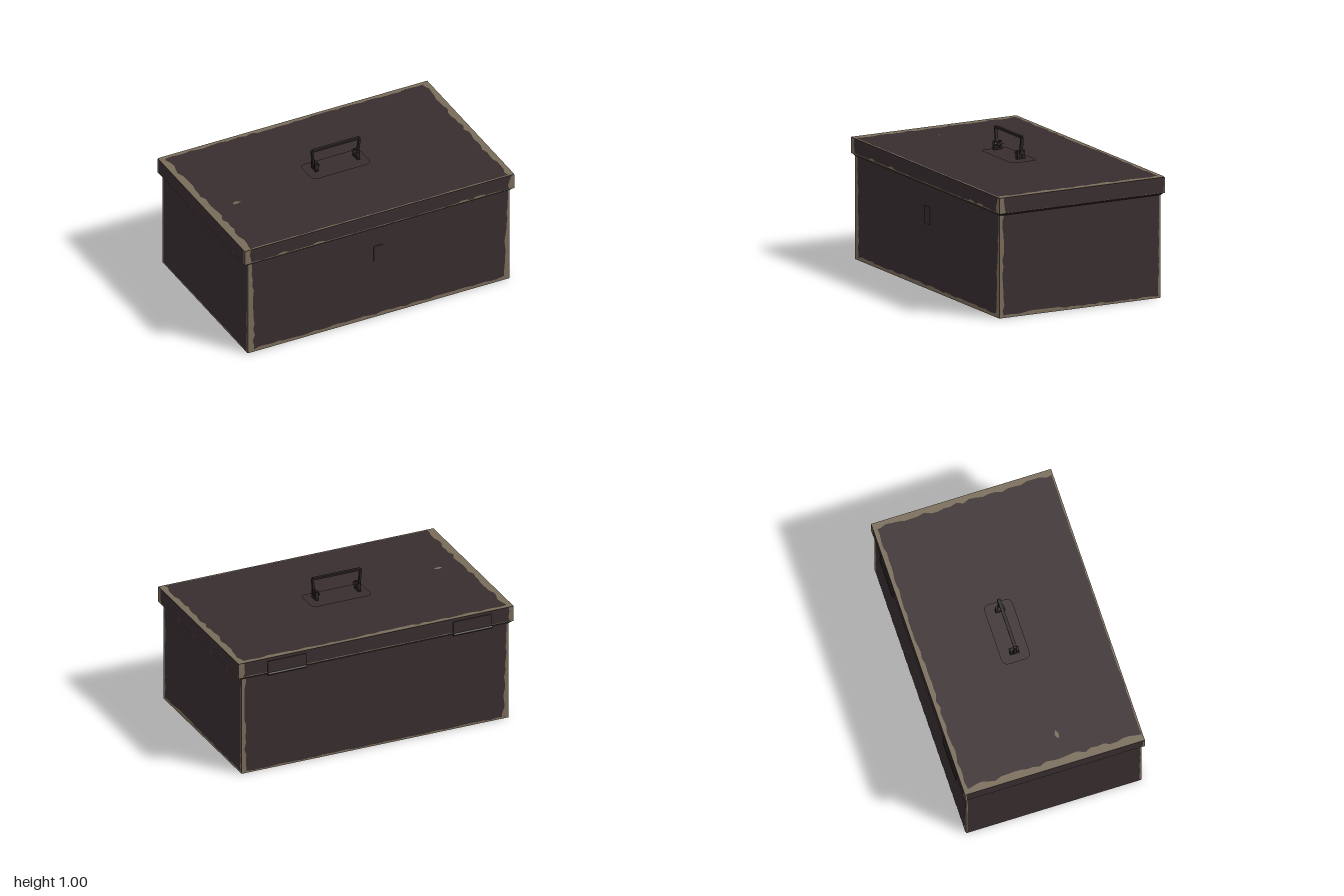
import * as THREE from 'three';

const paint = new THREE.MeshStandardMaterial({ color: 0x382d2f });
paint.name = 'dark paint';
const worn = new THREE.MeshStandardMaterial({ color: 0x786b58 });
worn.name = 'bare worn metal';
const iron = new THREE.MeshStandardMaterial({ color: 0x2a2324 });
iron.name = 'dark iron';
const sheet = new THREE.MeshStandardMaterial({ color: 0x382d2f, side: THREE.DoubleSide });
sheet.name = 'dark sheet';

// small seeded random, 0..1
let seed = 7;
const rand = () => {
  seed = (seed * 16807) % 2147483647;
  return seed / 2147483647;
};

function add(parent, name, geometry, material, x = 0, y = 0, z = 0) {
  const mesh = new THREE.Mesh(geometry, material);
  mesh.name = name;
  mesh.position.set(x, y, z);
  parent.add(mesh);
  return mesh;
}

const box = (parent, name, size, pos, material) =>
  add(parent, name, new THREE.BoxGeometry(...size), material, ...pos);

// ragged strips along the edges of a w x h face; each margin is [start, end],
// in counter-clockwise order: bottom, right, top, left
function wornEdges(w, h, margins) {
  const c = [[-w / 2, -h / 2], [w / 2, -h / 2], [w / 2, h / 2], [-w / 2, h / 2]]
    .map(p => new THREE.Vector2(...p));
  const shapes = [];
  margins.forEach((m, i) => {
    if (!m) return;
    const p = c[i], q = c[(i + 1) % 4];
    const [a, b] = Array.isArray(m) ? m : [m, m];
    const dir = q.clone().sub(p);
    const length = dir.length();
    dir.normalize();
    const steps = Math.max(3, Math.round(length / 0.045));
    const points = [p, q];
    for (let k = steps; k >= 0; k--) {
      const t = k / steps;
      const d = (a + (b - a) * t) * (0.7 + 0.6 * rand());
      points.push(new THREE.Vector2(
        p.x + dir.x * length * t - dir.y * d,
        p.y + dir.y * length * t + dir.x * d));
    }
    shapes.push(new THREE.Shape(points));
  });
  return new THREE.ShapeGeometry(shapes);
}

// worn strips on the faces of a box
function wearBox(parent, name, [w, h, d], [x, y, z], faces) {
  const e = 0.002;
  const place = {
    front: [w, h, [0, 0, d / 2 + e], [0, 0]],
    back: [w, h, [0, 0, -d / 2 - e], [0, Math.PI]],
    left: [d, h, [w / 2 + e, 0, 0], [0, Math.PI / 2]],
    right: [d, h, [-w / 2 - e, 0, 0], [0, -Math.PI / 2]],
    top: [w, d, [0, h / 2 + e, 0], [-Math.PI / 2, 0]],
    bottom: [w, d, [0, -h / 2 - e / 2, 0], [Math.PI / 2, 0]],
  };
  for (const [face, margins] of Object.entries(faces)) {
    const [fw, fh, p, r] = place[face];
    const mesh = add(parent, `${name} ${face} wear`, wornEdges(fw, fh, margins), worn,
      x + p[0], y + p[1], z + p[2]);
    mesh.rotation.set(r[0], r[1], 0);
  }
}

// irregular paint chip
function chip(parent, w, h, pos, rx = 0) {
  const points = [];
  for (let i = 0; i < 9; i++) {
    const a = i / 9 * Math.PI * 2, r = 0.7 + 0.4 * rand();
    points.push(new THREE.Vector2(Math.cos(a) * w / 2 * r, Math.sin(a) * h / 2 * r));
  }
  add(parent, 'paintChip', new THREE.ShapeGeometry(new THREE.Shape(points)), worn, ...pos)
    .rotation.x = rx;
}

function roundedRect(w, h, r) {
  const s = new THREE.Shape();
  [[1, 1, 0], [-1, 1, 1], [-1, -1, 2], [1, -1, 3]].forEach(([sx, sy, k]) =>
    s.absarc(sx * (w / 2 - r), sy * (h / 2 - r), r, k * Math.PI / 2, (k + 1) * Math.PI / 2));
  return new THREE.ShapeGeometry(s);
}

export function createModel() {
  const model = new THREE.Group();
  model.name = 'metalBox';

  // body
  const bodySize = [1.94, 0.7, 1.215], bodyPos = [0, 0.351, 0.0075];
  box(model, 'body', bodySize, bodyPos, paint);
  wearBox(model, 'body', bodySize, bodyPos, {
    front: [0.024, [0.045, 0.008], 0, [0.03, 0.045]],
    left: [[0.026, 0.014], [0.016, 0.01], 0, 0.028],
    back: [0.012, [0.04, 0.012], 0, 0.026],
    right: [0.01, 0.01, 0, 0.01],
    bottom: [0.015, 0.015, 0.015, 0.015],
  });

  // lid with a rim that slopes in under its lower edge
  const lid = new THREE.Group();
  lid.name = 'lid';
  model.add(lid);
  const lidSize = [2, 0.108, 1.247], lidPos = [0, 0.769, 0.0065];
  box(lid, 'lidPanel', lidSize, lidPos, paint);
  const rim = new THREE.BoxGeometry(1.99, 0.018, 1.24);
  const v = rim.attributes.position;
  for (let i = 0; i < v.count; i++) {
    if (v.getY(i) < 0) v.setXYZ(i, v.getX(i) * 0.976, v.getY(i), v.getZ(i) * 0.982);
  }
  rim.computeVertexNormals();
  add(lid, 'lidRim', rim, iron, 0, 0.706, 0.0065);
  wearBox(lid, 'lid', lidSize, lidPos, {
    front: [0.008, [0.05, 0.02], 0, [0.045, 0.06]],
    left: [0.004, 0.01, 0, 0.035],
    back: [0.008, 0.03, 0, 0.04],
    right: [0.004, 0.015, 0, 0.015],
    top: [0.01, 0.042, 0.03, 0.048],
  });
  chip(lid, 0.06, 0.025, [-0.78, 0.826, 0.09], -Math.PI / 2);
  for (const x of [-0.72, -0.45, 0.62, 0.74]) chip(lid, 0.09, 0.022, [x, 0.727, 0.633]);

  // latch plate on the front
  box(model, 'latchPlate', [0.07, 0.12, 0.006], [0, 0.5, 0.617], paint);

  // hinges on the back
  for (const x of [-0.7, 0.65]) {
    box(model, 'hingeLeaf', [0.28, 0.085, 0.006], [x, 0.76, -0.622], paint);
    add(model, 'hingeBarrel', new THREE.CylinderGeometry(0.011, 0.011, 0.28, 10), iron,
      x, 0.708, -0.62).rotation.z = Math.PI / 2;
  }

  // carrying handle above a thin rounded plate
  const handle = new THREE.Group();
  handle.name = 'handle';
  model.add(handle);
  add(handle, 'handlePlate', roundedRect(0.44, 0.195, 0.04), sheet, 0, 0.835, 0)
    .rotation.x = -Math.PI / 2;
  box(handle, 'grip', [0.345, 0.014, 0.022], [0, 0.993, 0], iron);
  for (const s of [-1, 1]) {
    box(handle, 'handleLeg', [0.013, 0.116, 0.02], [s * 0.17, 0.936, 0], iron)
      .rotation.z = s * -0.1;
    box(handle, 'handleFoot', [0.04, 0.02, 0.026], [s * 0.152, 0.882, 0], iron);
    // bracket: two cheeks with a pin through them
    for (const z of [-0.022, 0.022]) {
      box(handle, 'bracketCheek', [0.024, 0.055, 0.014], [s * 0.155, 0.873, z], iron);
    }
    box(handle, 'bracketBase', [0.022, 0.012, 0.064], [s * 0.155, 0.85, 0], iron);
    add(handle, 'bracketPin', new THREE.CylinderGeometry(0.007, 0.007, 0.066, 8), iron,
      s * 0.14, 0.885, 0).rotation.x = Math.PI / 2;
  }
  return model;
}
